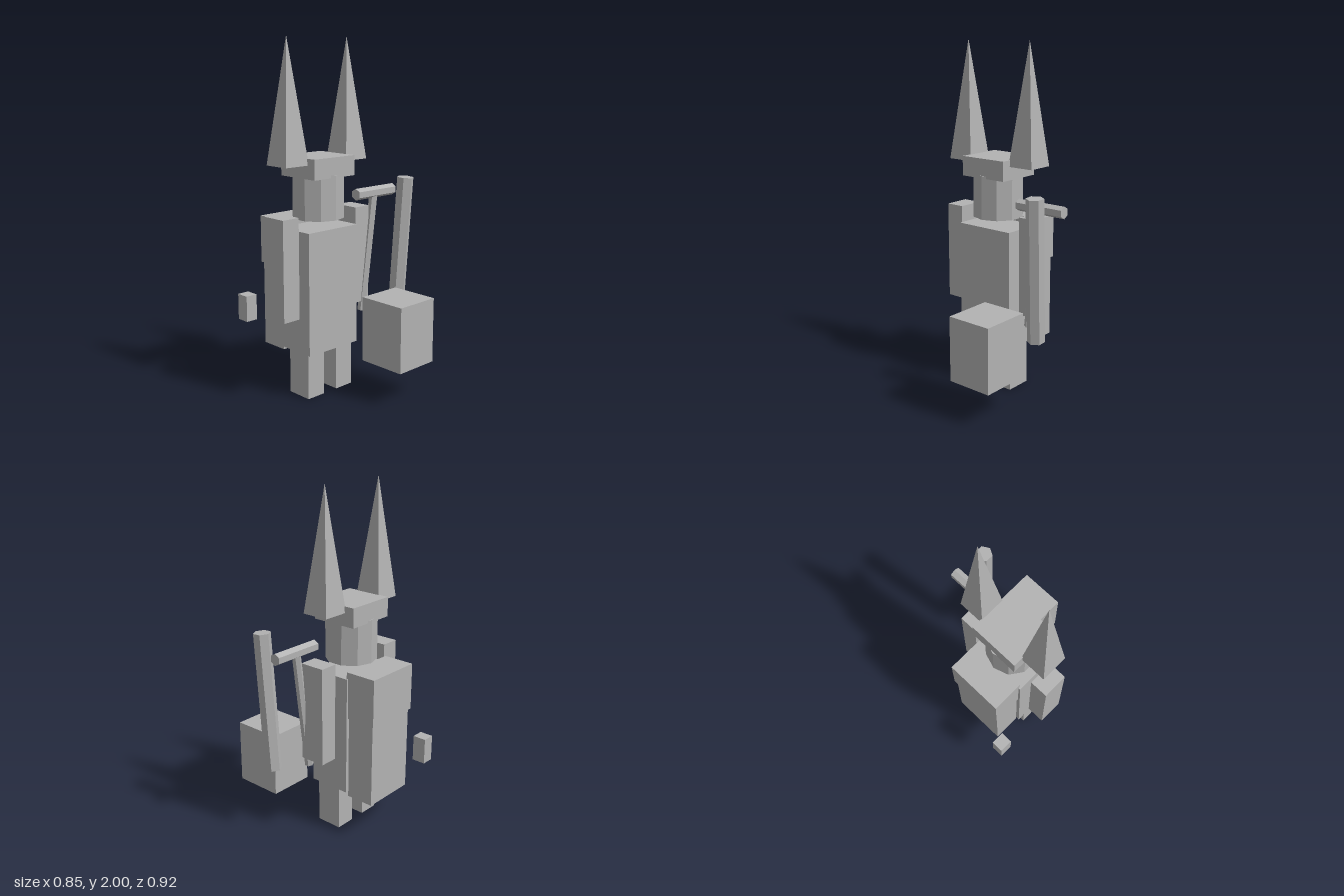
import * as THREE from 'three';

export function createModel() {
  const model = new THREE.Group();
  model.name = 'hornedFigure';
  const stone = new THREE.MeshStandardMaterial({ color: 0xb2b2b2, flatShading: true });
  stone.name = 'plain grey';

  const add = (name, geometry) => {
    const mesh = new THREE.Mesh(geometry, stone);
    mesh.name = name;
    model.add(mesh);
    return mesh;
  };

  // Box given by its limits on each axis
  const box = (name, [x0, x1], [y0, y1], [z0, z1]) =>
    add(name, new THREE.BoxGeometry(x1 - x0, y1 - y0, z1 - z0))
      .position.set((x0 + x1) / 2, (y0 + y1) / 2, (z0 + z1) / 2);

  // Six-sided rod between two points
  const rod = (name, from, to, radius, turn = 0) => {
    const a = new THREE.Vector3(...from), b = new THREE.Vector3(...to);
    const geometry = new THREE.CylinderGeometry(radius, radius, a.distanceTo(b), 6);
    geometry.rotateY(turn);
    const mesh = add(name, geometry);
    mesh.position.copy(a).lerp(b, 0.5);
    mesh.quaternion.setFromUnitVectors(new THREE.Vector3(0, 1, 0), b.sub(a).normalize());
  };

  // Body and limbs
  box('torso', [-0.285, 0.08], [0.265, 0.96], [-0.2, 0.05]);
  box('rightLeg', [-0.27, -0.15], [0, 0.27], [-0.135, 0.02]);
  box('leftLeg', [-0.055, 0.065], [0, 0.27], [-0.135, 0.02]);
  box('rightArm', [-0.425, -0.315], [0.477, 1.045], [-0.147, 0.003]);
  box('leftArm', [0.115, 0.222], [0.477, 1.045], [-0.147, 0.003]);

  // Head and helmet
  add('head', new THREE.CylinderGeometry(0.146, 0.146, 0.25, 10)).position.set(-0.102, 1.135, -0.076);
  box('helmet', [-0.25, 0.048], [1.245, 1.357], [-0.214, 0.061]);

  // Four-sided horns
  for (const [name, x] of [['rightHorn', -0.32], ['leftHorn', 0.118]]) {
    const horn = new THREE.ConeGeometry(0.08 * Math.SQRT2, 0.68, 4);
    horn.rotateY(Math.PI / 4);
    add(name, horn).position.set(x, 1.66, -0.075);
  }

  // Pack on the back
  box('packLid', [-0.272, 0.07], [0.725, 0.998], [-0.378, -0.19]);
  box('packBody', [-0.262, 0.06], [0.235, 0.73], [-0.367, -0.2]);

  // Loose blocks
  box('smallBlock', [-0.386, -0.314], [0.385, 0.537], [-0.458, -0.378]);
  box('largeBlock', [0.007, 0.278], [0.2, 0.573], [0.17, 0.458]);

  // Rods beside the left arm
  rod('crossRod', [0.115, 1.119, 0.005], [0.42, 1.119, 0.005], 0.034, Math.PI / 2);
  rod('frontRod', [0.333, 0.41, 0.125], [0.35, 1.215, 0.17], 0.049);
  rod('rearRod', [0.178, 0.42, -0.007], [0.259, 1.105, 0.005], 0.025);

  return model;
}
